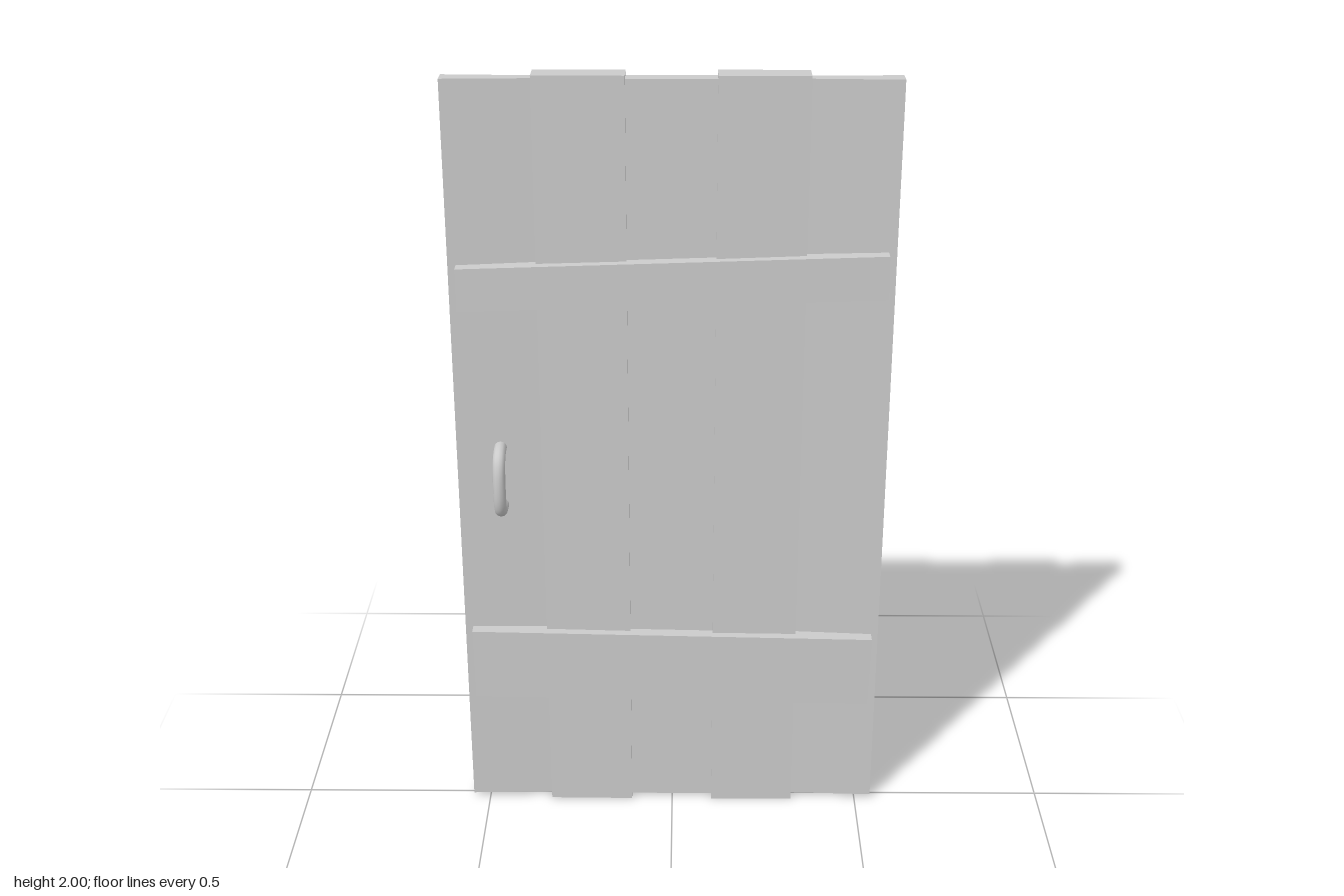
import * as THREE from 'three';

const material = new THREE.MeshStandardMaterial({ color: 0xcccccc });

// Straight prism over a list of corner points, drawn counter-clockwise
function prism(points, depth) {
  const shape = new THREE.Shape(points.map(([a, b]) => new THREE.Vector2(a, b)));
  return new THREE.ExtrudeGeometry(shape, { depth, bevelEnabled: false });
}

export function createModel() {
  const door = new THREE.Group();
  door.name = 'plankDoor';
  const add = (name, geometry) => {
    const mesh = new THREE.Mesh(geometry, material);
    mesh.name = name;
    door.add(mesh);
    return mesh;
  };

  // Upright planks: left x, right x, half thickness at each side, gap at both ends
  const planks = [
    [-0.545, -0.33, 0.023, 0.015, 0.01],
    [-0.33, -0.11, 0.03, 0.032, 0],
    [-0.11, 0.107, 0.021, 0.021, 0.01],
    [0.107, 0.325, 0.033, 0.03, 0],
    [0.325, 0.543, 0.015, 0.023, 0.01],
  ];
  planks.forEach(([x0, x1, t0, t1, gap], i) => {
    const g = prism([[x0, -t0], [x1, -t1], [x1, t1], [x0, t0]], 2 - 2 * gap);
    g.rotateX(-Math.PI / 2).translate(0, gap, 0);
    add(`plank${i + 1}`, g);
  });

  // Crooked cross battens, standing proud on both faces
  const battens = {
    upperBatten: [[-0.525, 1.425], [0.525, 1.46], [0.523, 1.57], [-0.525, 1.535]],
    lowerBatten: [[-0.523, 0.337], [0.52, 0.32], [0.525, 0.515], [-0.525, 0.535]],
  };
  for (const [name, corners] of Object.entries(battens)) {
    add(name, prism(corners, 0.108).translate(0, 0, -0.054));
  }

  // Bent pull handle on each face
  for (const [name, s] of [['frontHandle', 1], ['backHandle', -1]]) {
    const path = new THREE.CatmullRomCurve3([
      [1.05, 0], [1.05, 0.045], [1.04, 0.072], [1.01, 0.086],
      [0.93, 0.086], [0.9, 0.072], [0.891, 0.045], [0.891, 0],
    ].map(([y, z]) => new THREE.Vector3(-0.434, y, s * z)));
    add(name, new THREE.TubeGeometry(path, 32, 0.016, 12));
  }

  return door;
}
